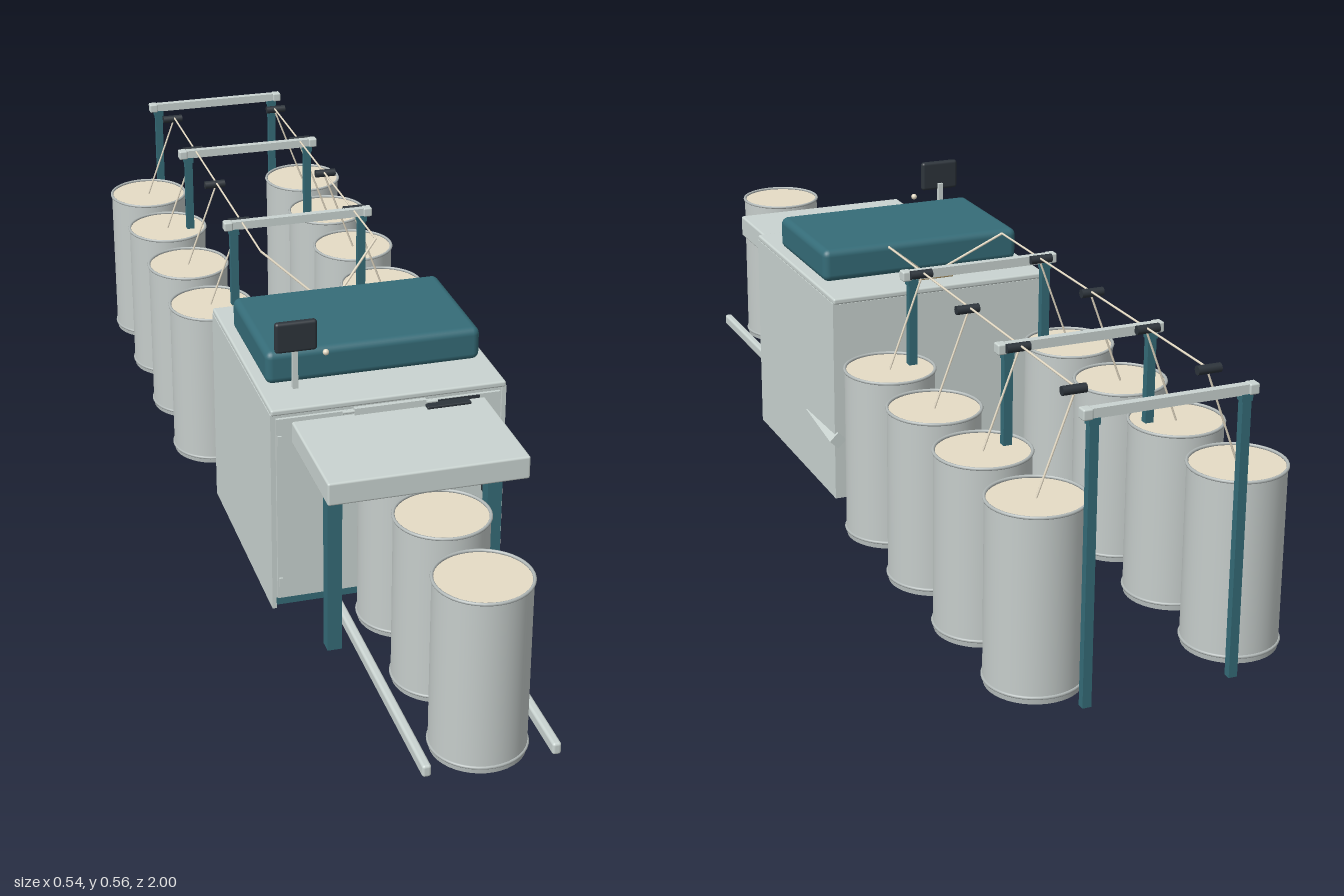
import * as THREE from 'three';
import { RoundedBoxGeometry } from 'three/addons/geometries/RoundedBoxGeometry.js';

const mat = (name, color, side = THREE.FrontSide) =>
  Object.assign(new THREE.MeshStandardMaterial({ color, side }), { name });

export function createModel() {
  const panel = mat('panel grey', 0xcad4d1);
  const metal = mat('can metal', 0xc6cdcb, THREE.DoubleSide);
  const rimMetal = mat('rim metal', 0xb2b9b8);
  const teal = mat('teal', 0x356c78);
  const black = mat('black', 0x2d343b);
  const cotton = mat('sliver', 0xe6dcc6);
  const brass = mat('brass', 0xcdb078);

  const model = new THREE.Group();
  model.name = 'drawFrame';

  const add = (parent, name, geometry, material, x = 0, y = 0, z = 0) => {
    const mesh = new THREE.Mesh(geometry, material);
    mesh.name = name;
    mesh.position.set(x, y, z);
    parent.add(mesh);
    return mesh;
  };
  // Box given by its minimum and maximum corners, optionally rounded
  const box = (parent, name, m, [x0, x1], [y0, y1], [z0, z1], r = 0) => {
    const s = [x1 - x0, y1 - y0, z1 - z0];
    const g = r ? new RoundedBoxGeometry(...s, 3, r) : new THREE.BoxGeometry(...s);
    return add(parent, name, g, m, (x0 + x1) / 2, (y0 + y1) / 2, (z0 + z1) / 2);
  };
  // Straight rod between two points
  const rod = (parent, name, m, a, b, r, sides = 8) => {
    const p = new THREE.Vector3(...a), q = new THREE.Vector3(...b);
    const d = q.clone().sub(p);
    const mesh = add(parent, name, new THREE.CylinderGeometry(r, r, d.length(), sides), m);
    mesh.position.copy(p).add(q).multiplyScalar(0.5);
    mesh.quaternion.setFromUnitVectors(new THREE.Vector3(0, 1, 0), d.normalize());
    return mesh;
  };

  // Sliver can on four casters
  const wall = new THREE.CylinderGeometry(0.084, 0.084, 0.32, 40, 1, true);
  const rim = new THREE.TorusGeometry(0.084, 0.003, 8, 40).rotateX(Math.PI / 2);
  const base = new THREE.CylinderGeometry(0.083, 0.083, 0.01, 40);
  const fill = new THREE.CylinderGeometry(0.083, 0.083, 0.006, 40);
  const caster = new THREE.CylinderGeometry(0.006, 0.006, 0.01, 12).rotateZ(Math.PI / 2);
  const can = (name, x, z) => {
    const g = new THREE.Group();
    g.name = name;
    g.position.set(x, 0, z);
    add(g, 'canWall', wall, metal, 0, 0.179, 0);
    add(g, 'canTopRim', rim, rimMetal, 0, 0.339, 0);
    add(g, 'canBottomRim', rim, rimMetal, 0, 0.022, 0);
    add(g, 'canBase', base, rimMetal, 0, 0.015, 0);
    add(g, 'canFill', fill, cotton, 0, 0.334, 0);
    for (let i = 0; i < 4; i++) {
      const a = i * Math.PI / 2;
      add(g, 'caster', caster, black, 0.05 * Math.cos(a), 0.006, 0.05 * Math.sin(a));
    }
    model.add(g);
  };
  for (const z of [0.913, 0.702, 0.49]) can('deliveryCan', 0, z);

  // Machine body
  const body = new THREE.Group();
  body.name = 'machineBody';
  model.add(body);
  box(body, 'core', panel, [-0.216, 0.216], [0.022, 0.406], [-0.057, 0.392]);
  box(body, 'plinth', teal, [-0.216, 0.216], [0.005, 0.022], [-0.056, 0.39]);
  box(body, 'backPanel', panel, [-0.216, 0.216], [0.003, 0.406], [-0.06, -0.056]);
  box(body, 'topPlate', panel, [-0.223, 0.223], [0.406, 0.418], [-0.062, 0.4], 0.004);
  box(body, 'frontDoor', panel, [-0.213, 0.213], [0.024, 0.398], [0.392, 0.398]);
  for (const s of [-1, 1]) {
    const side = box(body, 'sidePanel', panel, [-0.004, 0.004], [0.003, 0.408], [-0.06, 0.398]);
    side.position.x = s * 0.22;
    for (const z of [-0.03, 0.365])
      add(body, 'foot', new THREE.CylinderGeometry(0.016, 0.016, 0.008, 16), black, s * 0.195, 0.004, z);
  }
  for (const y of [0.058, 0.355])
    box(body, 'hinge', panel, [-0.211, -0.204], [y - 0.01, y + 0.01], [0.398, 0.402]);
  box(body, 'doorHandle', black, [0.181, 0.187], [0.196, 0.241], [0.398, 0.409]);
  box(body, 'doorSlot', black, [0.08, 0.172], [0.391, 0.397], [0.397, 0.4]);
  box(body, 'hood', teal, [-0.206, 0.206], [0.418, 0.483], [0.037, 0.302], 0.014);

  // Four-sided horn on the left side, widening towards the back
  const hornShape = new THREE.CylinderGeometry(0.006, 0.017, 0.17, 4).toNonIndexed();
  hornShape.computeVertexNormals();
  const horn = add(body, 'suctionHorn', hornShape, panel, 0.219, 0.13, 0.02);
  horn.rotation.x = Math.PI / 2 - 0.03;

  // Delivery table with legs and can rails
  const table = new THREE.Group();
  table.name = 'deliveryTable';
  model.add(table);
  box(table, 'tableTop', panel, [-0.184, 0.184], [0.346, 0.39], [0.395, 0.637], 0.004);
  for (const s of [-1, 1]) {
    const leg = box(table, 'tableLeg', teal, [-0.0135, 0.0135], [0, 0.347], [0.53, 0.558]);
    leg.position.x = s * 0.149;
    const rail = box(table, 'canRail', panel, [-0.008, 0.008], [0.018, 0.041], [0.38, 0.99], 0.005);
    rail.position.x = s * 0.114;
  }
  box(table, 'coilerBar', panel, [-0.068, 0.068], [0.39, 0.403], [0.395, 0.404]);
  rod(table, 'coilerRod', panel, [-0.09, 0.397, 0.401], [0.09, 0.397, 0.401], 0.003);
  box(table, 'controlPanel', black, [0.066, 0.15], [0.389, 0.395], [0.396, 0.418], 0.002);

  // Operator screen
  const screen = new THREE.Group();
  screen.name = 'operatorScreen';
  model.add(screen);
  box(screen, 'screenPost', panel, [-0.162, -0.152], [0.416, 0.51], [0.315, 0.325]);
  box(screen, 'screenCase', black, [-0.197, -0.118], [0.496, 0.556], [0.322, 0.336], 0.006);
  add(screen, 'signalKnob', new THREE.SphereGeometry(0.006, 16, 10), cotton, -0.1, 0.485, 0.326);

  // Creel gantries
  for (const z of [-0.244, -0.67, -0.99]) {
    const g = new THREE.Group();
    g.name = 'creelGantry';
    model.add(g);
    box(g, 'crossbar', panel, [-0.15, 0.15], [0.503, 0.52], [z - 0.007, z + 0.007]);
    for (const s of [-1, 1]) {
      const post = box(g, 'creelPost', teal, [-0.008, 0.008], [0, 0.504], [z - 0.007, z + 0.007]);
      post.position.x = s * 0.135;
      const head = box(g, 'postHead', teal, [-0.01, 0.01], [0.492, 0.504], [z - 0.008, z + 0.008]);
      head.position.x = s * 0.135;
      const cap = box(g, 'barCap', panel, [-0.009, 0.009], [0.502, 0.521], [z - 0.01, z + 0.01], 0.003);
      cap.position.x = s * 0.147;
    }
  }

  // Feed cans, sliver guides and slivers
  for (const s of [-1, 1]) {
    const x = s * 0.118;
    for (const z of [-0.255, -0.47, -0.683, -0.895]) {
      can('feedCan', s * 0.184, z);
      rod(model, 'sliver', cotton, [s * 0.184, 0.337, z], [x, 0.514, z], 0.002);
      rod(model, 'sliverGuide', black, [s * 0.1, 0.514, z], [s * 0.143, 0.514, z], 0.008, 16);
    }
    rod(model, 'longSliver', cotton, [x, 0.517, -0.895], [x, 0.517, -0.085], 0.002);
    rod(model, 'feedSliver', cotton, [x, 0.517, -0.085], [0, 0.42, 0], 0.0025);
  }
  for (const z of [-0.015, 0.018])
    rod(model, 'feedRoller', brass, [-0.043, 0.422, z], [0.043, 0.422, z], 0.004, 12);

  return model;
}
